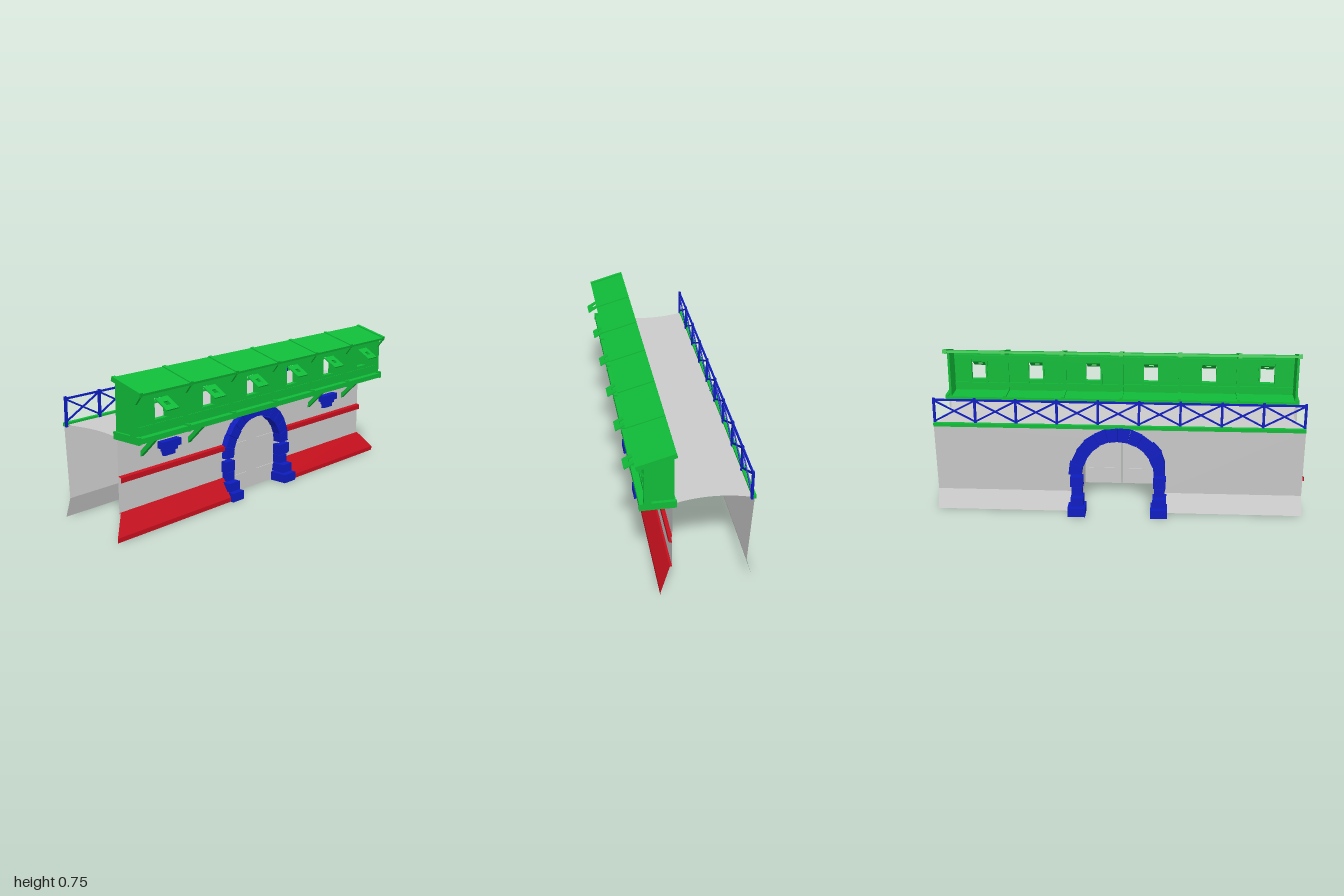
import * as THREE from 'three';

const mat = (color) => new THREE.MeshStandardMaterial({ color, side: THREE.DoubleSide });

export function createModel() {
  const root = new THREE.Group();
  const grey = mat(0xcccccc), red = mat(0xc8101e), green = mat(0x10bb38), blue = mat(0x0e1cc0);
  let seed = 7;
  const rnd = () => (seed = (seed * 16807) % 2147483647) / 2147483647 - 0.5;

  const group = (name, parent = root) => {
    const g = new THREE.Group();
    g.name = name;
    parent.add(g);
    return g;
  };
  const add = (parent, name, geo, material) => {
    const m = new THREE.Mesh(geo, material);
    m.name = name;
    parent.add(m);
    return m;
  };
  // Box given by its extents
  const box = (parent, name, material, x0, x1, y0, y1, z0, z1) => {
    const m = add(parent, name, new THREE.BoxGeometry(x1 - x0, y1 - y0, z1 - z0), material);
    m.position.set((x0 + x1) / 2, (y0 + y1) / 2, (z0 + z1) / 2);
    return m;
  };
  // Square bar between two points
  const beam = (parent, name, material, a, b, w, h = w) => {
    const p = new THREE.Vector3(...a), q = new THREE.Vector3(...b);
    const m = add(parent, name, new THREE.BoxGeometry(w, h, p.distanceTo(q)), material);
    m.position.copy(p).add(q).multiplyScalar(0.5);
    m.lookAt(q);
    return m;
  };
  // Folded sheet on one side of the gate; rows run downward as [y, z, outer x]
  const strip = (parent, name, material, side, inner, rows) => {
    const v = [];
    for (let i = 0; i + 1 < rows.length; i++) {
      const [a, b, c, d] = [rows[i], rows[i + 1]].flatMap(([y, z, x]) => {
        const ends = [[side * inner, y, z], [side * x, y, z]];
        return side > 0 ? ends : ends.reverse();
      });
      v.push(...a, ...c, ...b, ...b, ...c, ...d);
    }
    const geo = new THREE.BufferGeometry();
    geo.setAttribute('position', new THREE.Float32BufferAttribute(v, 3));
    geo.computeVertexNormals();
    return add(parent, name, geo, material);
  };

  // Walls with an arched opening
  const wallShape = new THREE.Shape();
  wallShape.moveTo(-0.93, 0.1).lineTo(-0.2, 0.1).lineTo(-0.2, 0.2);
  wallShape.absarc(0, 0.2, 0.2, Math.PI, 0, true);
  wallShape.lineTo(0.2, 0.1).lineTo(0.93, 0.1).lineTo(0.93, 0.46).lineTo(-0.93, 0.46);
  const walls = group('walls');
  add(walls, 'frontWall', new THREE.ShapeGeometry(wallShape, 24), grey).position.z = 0.125;
  const backGeo = new THREE.ShapeGeometry(wallShape, 24);
  const bp = backGeo.attributes.position;
  for (let i = 0; i < bp.count; i++) bp.setZ(i, -0.226 - ((bp.getY(i) - 0.1) / 0.36) * 0.022);
  backGeo.computeVertexNormals();
  add(walls, 'backWall', backGeo, grey);
  for (const s of [-1, 1]) {
    strip(walls, 'backWallFoot', grey, s, 0.2, [[0.1, -0.226, 0.93], [0, -0.255, 0.935]]);
    strip(walls, 'frontSkirt', red, s, 0.2,
      [[0.11, 0.125, 0.93], [0.11, 0.135, 0.93], [0.022, 0.19, 1], [0, 0.19, 1]]);
    strip(walls, 'stringCourse', red, s, 0.22,
      [[0.285, 0.125, 0.93], [0.28, 0.142, 0.93], [0.255, 0.142, 0.93], [0.248, 0.125, 0.93]]);
  }

  // Walkway with hollowed ends
  const deck = new THREE.Shape();
  deck.moveTo(-0.93, -0.248).lineTo(0.93, -0.248).quadraticCurveTo(0.86, -0.07, 0.92, 0.125);
  deck.lineTo(-0.92, 0.125).quadraticCurveTo(-0.86, -0.07, -0.93, -0.248);
  const deckMesh = add(walls, 'walkway', new THREE.ShapeGeometry(deck, 16).rotateX(Math.PI / 2), grey);
  deckMesh.position.y = 0.46;

  // Passage vault and sides
  const tunnel = group('passage');
  const vault = new THREE.CylinderGeometry(0.2, 0.2, 0.35, 32, 1, true, Math.PI / 2, Math.PI);
  add(tunnel, 'vault', vault.rotateX(Math.PI / 2), grey).position.set(0, 0.2, -0.053);
  for (const s of [-1, 1]) {
    const side = add(tunnel, 'passageSide', new THREE.PlaneGeometry(0.35, 0.2), grey);
    side.rotation.y = -s * Math.PI / 2;
    side.position.set(s * 0.2, 0.1, -0.053);
  }

  // Gate leaves with strap hinges
  const gate = group('gate');
  for (const s of [-1, 1]) {
    const leaf = new THREE.Shape();
    leaf.moveTo(s * 0.003, 0.005).lineTo(s * 0.198, 0.005).lineTo(s * 0.198, 0.2);
    leaf.absarc(0, 0.2, 0.198, s > 0 ? 0 : Math.PI, Math.PI / 2, s < 0);
    leaf.lineTo(s * 0.003, 0.398);
    const geo = new THREE.ExtrudeGeometry(leaf, { depth: 0.012, bevelEnabled: false, curveSegments: 14 });
    add(gate, 'gateLeaf', geo, grey).position.z = 0.1;
    for (const y of [0.09, 0.26]) {
      const [a, b] = [s * 0.04, s * 0.18].sort((p, q) => p - q);
      box(gate, 'strapHinge', grey, a, b, y - 0.005, y + 0.005, 0.096, 0.116);
    }
  }

  // Stone surrounds on both faces
  const courses = [[0, 0.045, 0.165, 0.25, 0.05], [0.05, 0.094, 0.175, 0.245, 0.03],
    [0.097, 0.14, 0.182, 0.238, 0], [0.143, 0.198, 0.178, 0.245, 0]];
  for (const [name, zIn, dir] of [['frontArch', 0.112, 1], ['backArch', -0.229, -1]]) {
    const arch = group(name);
    const span = (reach) => [zIn, zIn + dir * (0.047 + reach)].sort((p, q) => p - q);
    for (const s of [-1, 1]) {
      for (const [y0, y1, x0, x1, reach] of courses) {
        const [a, b] = [s * x0, s * (x1 + rnd() * 0.012)].sort((p, q) => p - q);
        box(arch, 'jambStone', blue, a, b, y0, y1, ...span(reach));
      }
    }
    const n = 12;
    for (let i = 0; i < n; i++) {
      const a0 = (i + 0.02) * Math.PI / n, a1 = (i + 0.98) * Math.PI / n;
      const r0 = 0.182 + rnd() * 0.008, r1 = 0.246 + rnd() * 0.012;
      const stone = new THREE.Shape([[r0, a0], [r1, a0], [r1 + rnd() * 0.01, a1], [r0, a1]]
        .map(([r, a]) => new THREE.Vector2(r * Math.cos(a), r * Math.sin(a) + 0.212)));
      const geo = new THREE.ExtrudeGeometry(stone, { depth: 0.047, bevelEnabled: false });
      add(arch, 'archStone', geo, blue).position.z = span(0)[0];
    }
    if (dir > 0) box(arch, 'projectingStone', blue, 0.2, 0.258, 0.147, 0.198, 0.112, 0.158);
  }

  // Stepped corbels on the front wall
  for (const x of [-0.62, 0.62]) {
    const corbel = group('corbel');
    [[0.062, 0.363, 0.397, 0.16], [0.045, 0.345, 0.363, 0.152], [0.036, 0.323, 0.345, 0.145]]
      .forEach(([w, y0, y1, z]) => box(corbel, 'corbelStep', blue, x - w, x + w, y0, y1, 0.12, z));
  }

  // Railing along the back
  const railing = group('railing');
  const panels = 9, step = 1.85 / panels;
  box(railing, 'railSill', green, -0.93, 0.93, 0.452, 0.47, -0.256, -0.236);
  box(railing, 'topRail', blue, -0.927, 0.927, 0.583, 0.592, -0.241, -0.232);
  for (let i = 0; i <= panels; i++) {
    const x = -0.925 + i * step;
    box(railing, 'railPost', blue, x - 0.006, x + 0.006, 0.45, 0.598, -0.242, -0.231);
    if (i === panels) continue;
    beam(railing, 'crossBrace', blue, [x, 0.475, -0.238], [x + step, 0.585, -0.238], 0.006, 0.008);
    beam(railing, 'crossBrace', blue, [x, 0.585, -0.235], [x + step, 0.475, -0.235], 0.006, 0.008);
  }

  // Timber gallery: floor, pierced front, end walls
  const gallery = group('gallery');
  const bays = 6, bay = 0.311, left = -0.928;
  box(gallery, 'galleryFloor', green, -0.93, 0.93, 0.461, 0.486, 0.108, 0.273);
  const front = new THREE.Shape();
  front.moveTo(-0.925, 0.486).lineTo(0.925, 0.486).lineTo(0.925, 0.69).lineTo(-0.925, 0.69);
  for (let i = 0; i < bays; i++) {
    const x = left + (i + 0.5) * bay, hole = new THREE.Path();
    hole.moveTo(x - 0.038, 0.548).lineTo(x - 0.038, 0.645).lineTo(x + 0.038, 0.645).lineTo(x + 0.038, 0.548);
    front.holes.push(hole);
  }
  const frontGeo = new THREE.ExtrudeGeometry(front, { depth: 0.012, bevelEnabled: false });
  add(gallery, 'galleryFront', frontGeo, green).position.z = 0.23;
  box(gallery, 'lowerRail', green, -0.925, 0.925, 0.517, 0.53, 0.222, 0.246);
  box(gallery, 'wallPlate', green, -0.925, 0.925, 0.664, 0.684, 0.22, 0.25);
  for (const x of [-0.925, 0.913]) {
    const end = new THREE.Shape();
    end.moveTo(-0.115, 0.486).lineTo(-0.115, 0.73).lineTo(-0.24, 0.697).lineTo(-0.24, 0.486);
    const geo = new THREE.ExtrudeGeometry(end, { depth: 0.012, bevelEnabled: false });
    add(gallery, 'endWall', geo.rotateY(Math.PI / 2), green).position.x = x;
  }

  // Sloping roof with ribs over the posts
  const slope = (name, w, h, x) => {
    const m = add(gallery, name, new THREE.BoxGeometry(w, h, 0.188), green);
    m.position.set(x, 0.711, 0.197);
    m.rotation.x = 0.27;
  };
  slope('roof', 1.86, 0.012, 0);
  for (let i = 0; i <= bays; i++) {
    const x = left + i * bay;
    slope('roofRib', 0.02, 0.023, x);
    box(gallery, 'galleryPost', green, x - 0.009, x + 0.009, 0.462, 0.692, 0.22, 0.254);
    box(gallery, 'floorJoist', green, x - 0.008, x + 0.008, 0.459, 0.494, 0.107, 0.275);
    beam(gallery, 'eaveBracket', green, [x, 0.64, 0.25], [x, 0.684, 0.284], 0.012, 0.008);
  }

  // Window frames and propped shutters
  for (let i = 0; i < bays; i++) {
    const x = left + (i + 0.5) * bay, win = group('window', gallery);
    for (const s of [-1, 1]) {
      const c = x + s * 0.043;
      box(win, 'windowJamb', green, c - 0.005, c + 0.005, 0.53, 0.665, 0.222, 0.247);
      // shutter halves leave a narrow slot
      beam(win, 'shutterSide', green, [x + s * 0.026, 0.645, 0.25], [x + s * 0.026, 0.602, 0.323], 0.026, 0.006);
    }
    box(win, 'windowSill', green, x - 0.046, x + 0.046, 0.54, 0.549, 0.222, 0.25);
    beam(win, 'shutterTop', green, [x, 0.645, 0.25], [x, 0.629, 0.277], 0.03, 0.006);
    beam(win, 'shutterBottom', green, [x, 0.617, 0.297], [x, 0.602, 0.323], 0.03, 0.006);
  }

  // Braces under the gallery
  for (const x of [-0.78, -0.47, 0.47, 0.78]) {
    beam(gallery, 'brace', green, [x, 0.345, 0.108], [x, 0.463, 0.228], 0.02, 0.02);
  }
  return root;
}
